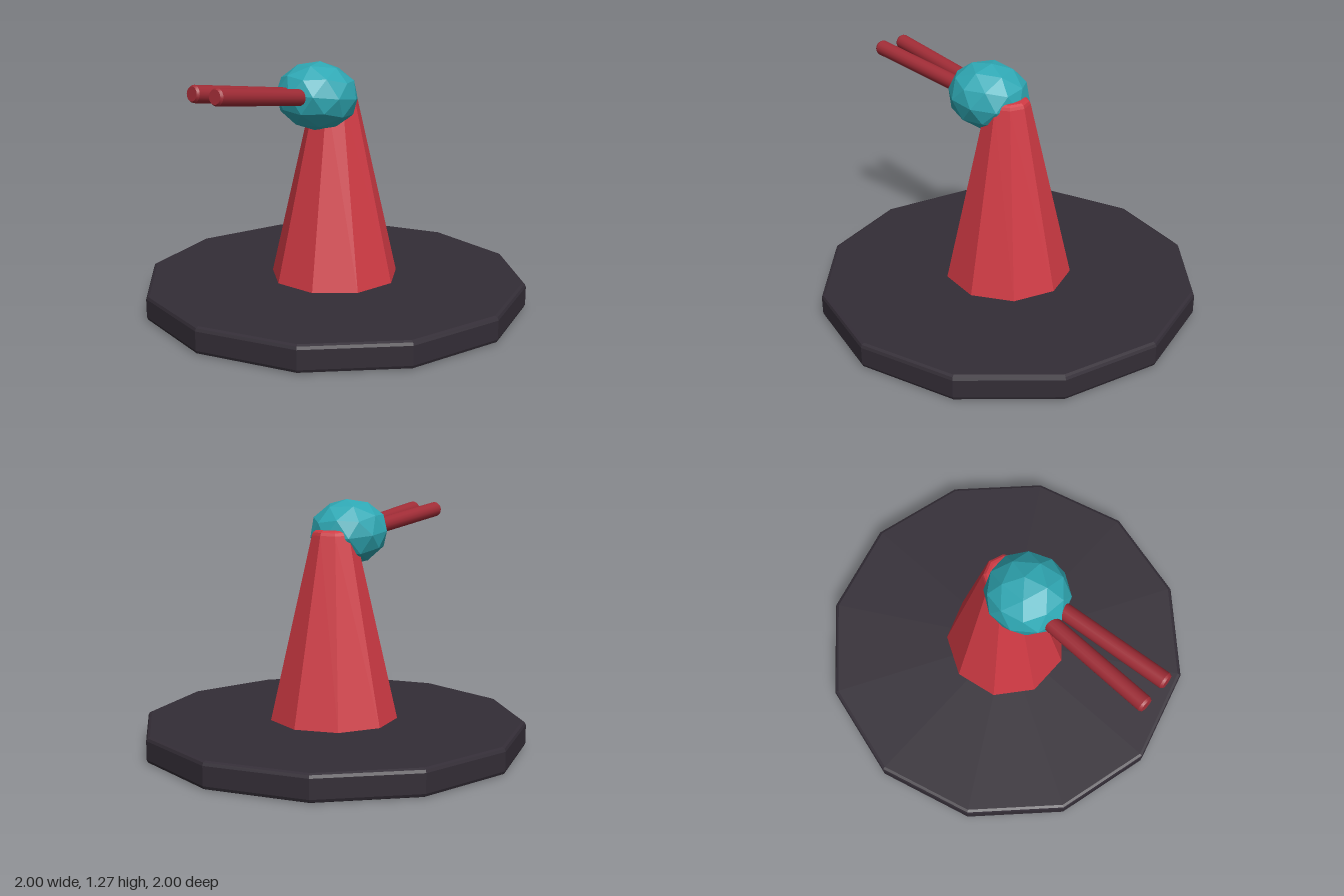
import * as THREE from 'three';

const paint = (color, flatShading = true) => new THREE.MeshStandardMaterial({ color, flatShading });

// Faceted solid of revolution from [radius, height] pairs, bottom to top
function turned(name, profile, sides, material) {
  const points = profile.map(([r, y]) => new THREE.Vector2(r, y));
  const mesh = new THREE.Mesh(new THREE.LatheGeometry(points, sides), material);
  mesh.name = name;
  return mesh;
}

export function createModel() {
  const model = new THREE.Group();
  model.name = 'model';

  // Twelve-sided base plate with softened rims
  model.add(turned('base', [
    [0, 0], [0.98, 0], [0.994, 0.006], [1, 0.02],
    [1, 0.115], [0.994, 0.129], [0.98, 0.135], [0, 0.135],
  ], 12, paint(0x332d36)));

  // Nine-sided tapered tower, one corner to the back, rounded top rim
  const tower = turned('tower', [
    [0, 0.12], [0.338, 0.12], [0.114, 1.09], [0.108, 1.105],
    [0.095, 1.114], [0.08, 1.116], [0, 1.116],
  ], 9, paint(0xd03a44));
  tower.rotation.y = Math.PI;
  model.add(tower);

  // Faceted head, turned to stand on a corner, flattened and tipped back
  const headShape = new THREE.IcosahedronGeometry(1, 1);
  headShape.rotateZ(-Math.atan(2 / (1 + Math.sqrt(5))));
  headShape.scale(0.205, 0.172, 0.215);
  const head = new THREE.Mesh(headShape, paint(0x2fa8b4));
  head.name = 'head';
  head.position.set(0, 1.098, 0.135);
  head.rotation.x = -0.127;
  model.add(head);

  // Pair of spreading barrels with slightly eased ends
  const red = paint(0xa02c36, false);
  const up = new THREE.Vector3(0, 1, 0);
  for (const side of [1, -1]) {
    const start = new THREE.Vector3(side * 0.033, 1.09, 0.12);
    const end = new THREE.Vector3(side * 0.073, 1.19, 0.905);
    const length = start.distanceTo(end);
    const barrel = new THREE.Group();
    barrel.name = side > 0 ? 'leftBarrel' : 'rightBarrel';
    const tube = new THREE.Mesh(new THREE.CylinderGeometry(0.041, 0.041, length - 0.012, 16), red);
    tube.name = 'tube';
    tube.position.y = (length - 0.012) / 2;
    const tip = new THREE.Mesh(new THREE.CylinderGeometry(0.034, 0.041, 0.012, 16), red);
    tip.name = 'tip';
    tip.position.y = length - 0.006;
    barrel.add(tube, tip);
    barrel.position.copy(start);
    barrel.quaternion.setFromUnitVectors(up, end.clone().sub(start).normalize());
    model.add(barrel);
  }
  return model;
}
